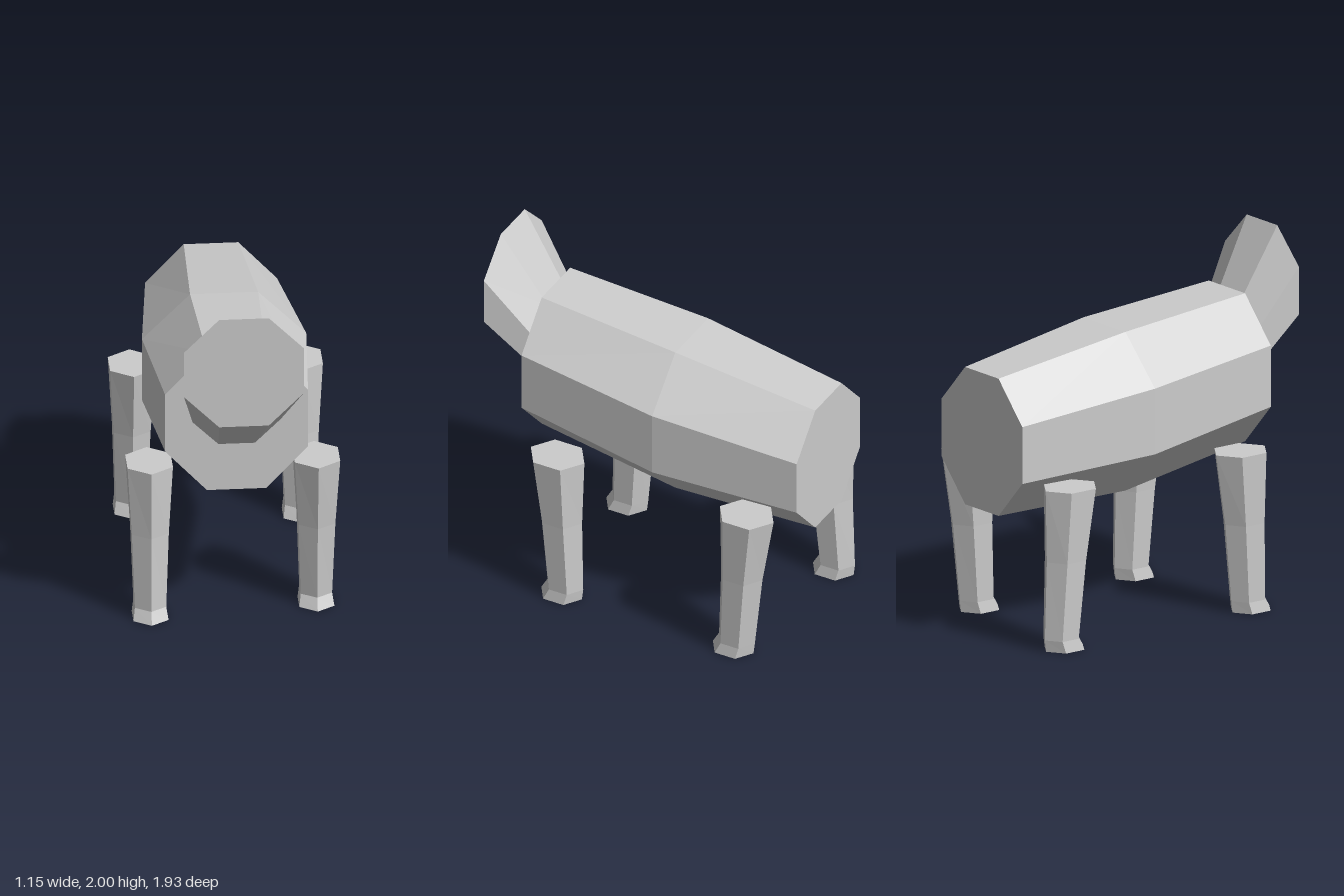
import * as THREE from 'three';

// Skin a list of rings (equal point counts) and close both ends, with flat facets
function loft(rings) {
  const n = rings[0].length, pos = [];
  const tri = (...pts) => pts.forEach(p => pos.push(p.x, p.y, p.z));
  for (let r = 0; r < rings.length - 1; r++) {
    const a = rings[r], b = rings[r + 1];
    for (let i = 0; i < n; i++) {
      const j = (i + 1) % n;
      tri(a[i], b[i], b[j]);
      tri(a[i], b[j], a[j]);
    }
  }
  const first = rings[0], last = rings[rings.length - 1];
  for (let i = 1; i < n - 1; i++) {
    tri(first[0], first[i], first[i + 1]);
    tri(last[0], last[i + 1], last[i]);
  }
  const geo = new THREE.BufferGeometry();
  geo.setAttribute('position', new THREE.Float32BufferAttribute(pos, 3));
  geo.computeVertexNormals();
  return geo;
}

// Upright octagon with flat top and sides; rx, ry are half width and half height
function octagon(cx, cy, z, rx, ry) {
  const c = Math.cos(Math.PI / 8);
  return Array.from({ length: 8 }, (_, i) => {
    const a = (i + 0.5) * Math.PI / 4;
    return new THREE.Vector3(cx + rx / c * Math.cos(a), cy + ry / c * Math.sin(a), z);
  });
}

// Level hexagon with points to front and back; hx, hz are half width and half length
function hexagon(cx, y, cz, hx, hz) {
  const c = Math.cos(Math.PI / 6);
  return Array.from({ length: 6 }, (_, i) => {
    const a = (i + 0.5) * Math.PI / 3;
    return new THREE.Vector3(cx + hx / c * Math.cos(a), y, cz - hz * Math.sin(a));
  });
}

export function createModel() {
  const group = new THREE.Group();
  const grey = new THREE.MeshStandardMaterial({ color: 0xcccccc });
  grey.name = 'plain grey';
  const add = (name, rings) => {
    const mesh = new THREE.Mesh(loft(rings), grey);
    mesh.name = name;
    group.add(mesh);
  };

  // Barrel body, front to back
  add('body', [
    octagon(0, 1.257, 0.71, 0.387, 0.415),
    octagon(0, 1.16, -0.125, 0.445, 0.445),
    octagon(-0.003, 1.095, -0.965, 0.357, 0.385),
  ]);

  // Neck flaring forward and up, sunk slightly into the body
  add('neck', [
    octagon(0.02, 1.675, 0.965, 0.325, 0.325),
    octagon(0, 1.347, 0.705, 0.237, 0.233),
  ]);

  // Striding legs: diagonal pairs swing the same way
  for (const [end, z, swing] of [['front', 0.452, 0.048], ['back', -0.712, 0.06]]) {
    for (const side of [1, -1]) {
      const s = swing * (end === 'front' ? -side : side);
      const x = side * 0.453;
      add(end + (side > 0 ? 'Left' : 'Right') + 'Leg', [
        hexagon(x, 0.9, z, 0.123, 0.165),
        hexagon(x, 0.5, z + s * 0.5, 0.1, 0.127),
        hexagon(x, 0.065, z + s, 0.085, 0.11),
        hexagon(x, 0, z + s + 0.023, 0.095, 0.125),
      ]);
    }
  }
  return group;
}
